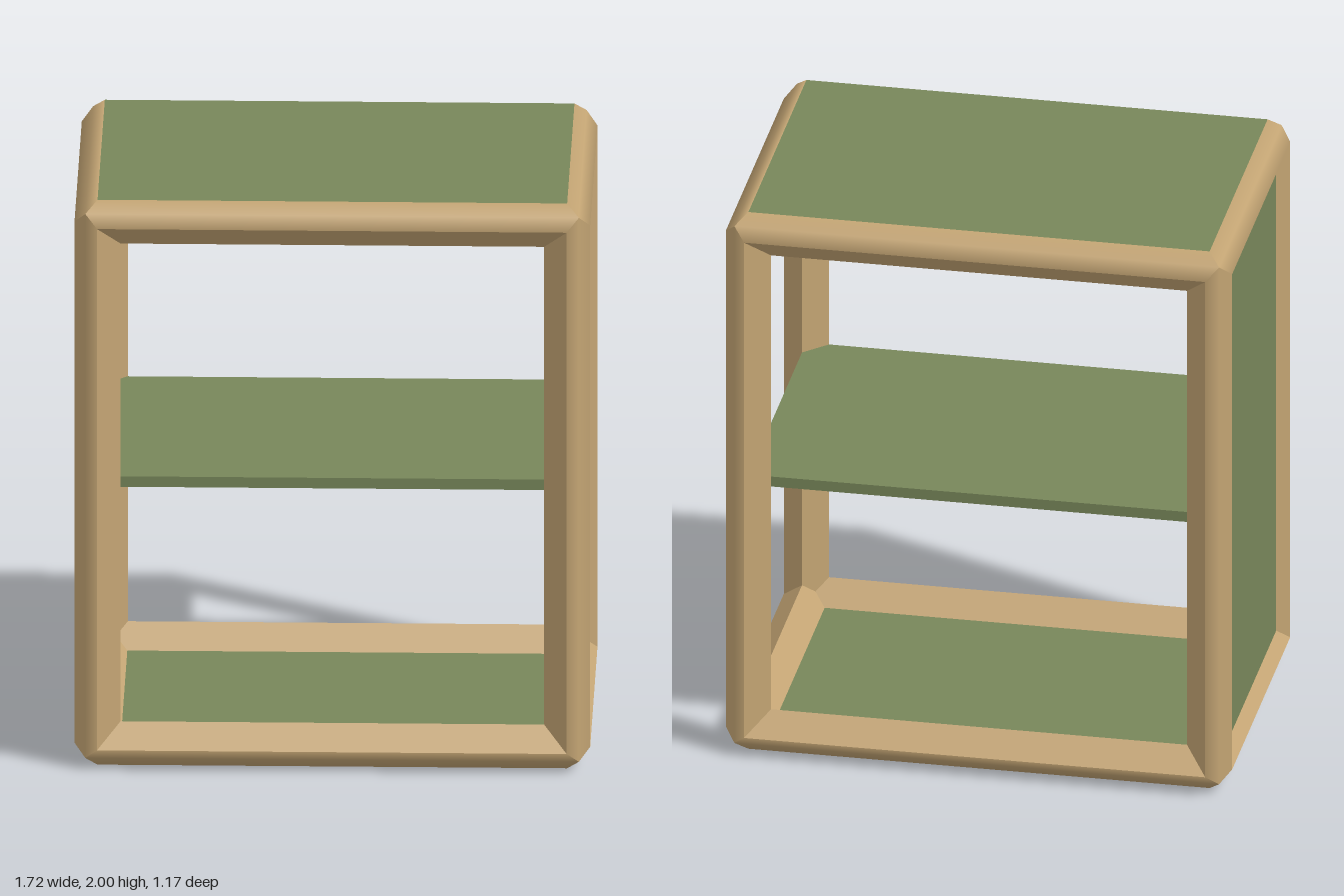
import * as THREE from 'three';

const HALF = [0.785, 0.922, 0.51]; // half distances between beam centre lines
const R = 0.077;                   // half width of the diamond beam section
const M = 0.04;                    // outer ridge of the section
const H = R / 2;                   // middle of the inner face
const T = 0.037;                   // panel thickness

// Beam section: offsets along the two cross axes, and how far the mitre runs past the corner
const SECTION = [
  [R, 0, 0], [M, M, M], [0, R, 0],
  [-R, 0, -R], [-H, -H, -H], [0, -R, -R],
];

// One mitred beam along axis d, on the edge picked by signs sa and sb
function beamGeometry(d, sa, sb) {
  const a = (d + 1) % 3, b = (d + 2) % 3;
  const positions = [], normals = [], index = [];
  SECTION.forEach((p, i) => {
    const q = SECTION[(i + 1) % SECTION.length];
    const flat = [q[1] - p[1], p[0] - q[0]];
    const base = positions.length / 3;
    for (const [point, end] of [[p, -1], [q, -1], [q, 1], [p, 1]]) {
      const pos = [0, 0, 0], nor = [0, 0, 0];
      pos[d] = end * (HALF[d] + point[2]);
      pos[a] = sa * (HALF[a] + point[0]);
      pos[b] = sb * (HALF[b] + point[1]);
      // the outer strips are shaded round, the others flat
      const n = i < 2 ? point : flat;
      const len = Math.hypot(n[0], n[1]);
      nor[a] = sa * n[0] / len;
      nor[b] = sb * n[1] / len;
      positions.push(...pos);
      normals.push(...nor);
    }
    const order = sa * sb > 0 ? [0, 1, 2, 0, 2, 3] : [0, 2, 1, 0, 3, 2];
    index.push(...order.map((k) => base + k));
  });
  const geometry = new THREE.BufferGeometry();
  geometry.setAttribute('position', new THREE.Float32BufferAttribute(positions, 3));
  geometry.setAttribute('normal', new THREE.Float32BufferAttribute(normals, 3));
  geometry.setIndex(index);
  return geometry;
}

export function createModel() {
  const model = new THREE.Group();
  model.name = 'shelfUnit';
  const wood = new THREE.MeshStandardMaterial({ color: 0xc4a574 });
  const green = new THREE.MeshStandardMaterial({ color: 0x78875a });

  // Frame: four beams along each axis
  const frame = new THREE.Group();
  frame.name = 'frame';
  frame.position.y = 1;
  ['crossBeam', 'post', 'sideBeam'].forEach((name, d) => {
    for (const sa of [-1, 1]) for (const sb of [-1, 1]) {
      const beam = new THREE.Mesh(beamGeometry(d, sa, sb), wood);
      beam.name = name;
      frame.add(beam);
    }
  });
  model.add(frame);

  const addPanel = (name, size, x, y) => {
    const panel = new THREE.Mesh(new THREE.BoxGeometry(...size), green);
    panel.name = name;
    panel.position.set(x, y, 0);
    model.add(panel);
  };
  const [hx, hy, hz] = HALF;
  // Top is flush with the frame; bottom and side sit recessed, against the beam centre planes
  addPanel('topPanel', [2 * hx, T, 2 * hz], 0, 1 + hy + R - T / 2);
  addPanel('bottomPanel', [2 * hx, T, 2 * hz], 0, 1 - hy - T / 2);
  addPanel('sidePanel', [T, 2 * hy, 2 * hz], -hx - T / 2, 1);

  // Middle shelf, its corners let into the posts
  addPanel('shelf', [2 * hx, T, 2 * hz], 0, 1.003);
  return model;
}
